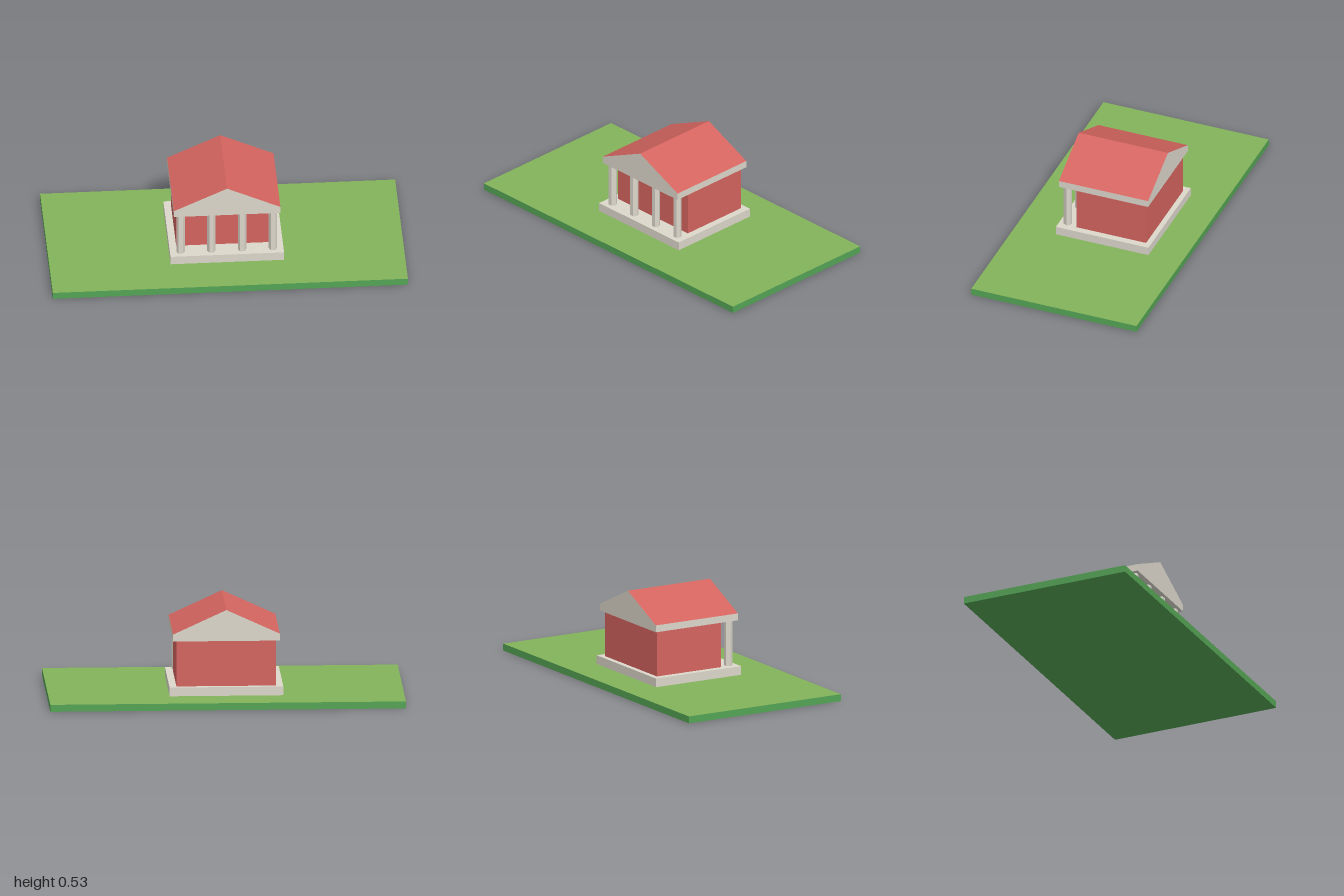
import * as THREE from 'three';

const paint = (color) => new THREE.MeshStandardMaterial({ color });

export function createModel() {
  const model = new THREE.Group();
  const stone = paint(0xdcd7cb);
  const red = paint(0xd4645f);
  const lawn = paint(0x82b35a);
  const turf = paint(0x54a455);

  const add = (name, geometry, material, x = 0, y = 0, z = 0) => {
    const mesh = new THREE.Mesh(geometry, material);
    mesh.name = name;
    mesh.position.set(x, y, z);
    model.add(mesh);
    return mesh;
  };

  // Box given by half width, bottom and top, back and front
  const addBox = (name, halfX, y0, y1, z0, z1, material) =>
    add(name, new THREE.BoxGeometry(halfX * 2, y1 - y0, z1 - z0), material,
      0, (y0 + y1) / 2, (z0 + z1) / 2);

  // Ground slab: lighter grass on its top face
  addBox('ground', 1, 0, 0.04, -0.5, 0.5, [turf, turf, lawn, turf, turf, turf]);

  // Plinth, walls and the flat band under the roof
  addBox('plinth', 0.32, 0.04, 0.09, -0.3, 0.26, stone);
  addBox('walls', 0.28, 0.09, 0.352, -0.27, 0.15, red);
  addBox('entablature', 0.3, 0.352, 0.392, -0.29, 0.25, stone);

  // Gable roof: stone pediments, red slopes
  const gable = new THREE.Shape([
    new THREE.Vector2(-0.3, 0.392),
    new THREE.Vector2(0.3, 0.392),
    new THREE.Vector2(0, 0.53),
  ]);
  add('roof', new THREE.ExtrudeGeometry(gable, { depth: 0.54, bevelEnabled: false }),
    [stone, red], 0, 0, -0.29);

  // Row of four six-sided porch columns
  const columnStone = paint(0xdcd7cb);
  columnStone.flatShading = true;
  const shaft = new THREE.CylinderGeometry(0.024, 0.024, 0.262, 6);
  shaft.rotateY(Math.PI / 2);
  for (let i = 0; i < 4; i++) {
    add(`column${i + 1}`, shaft, columnStone, -0.26 + (i * 0.52) / 3, 0.221, 0.211);
  }

  return model;
}
